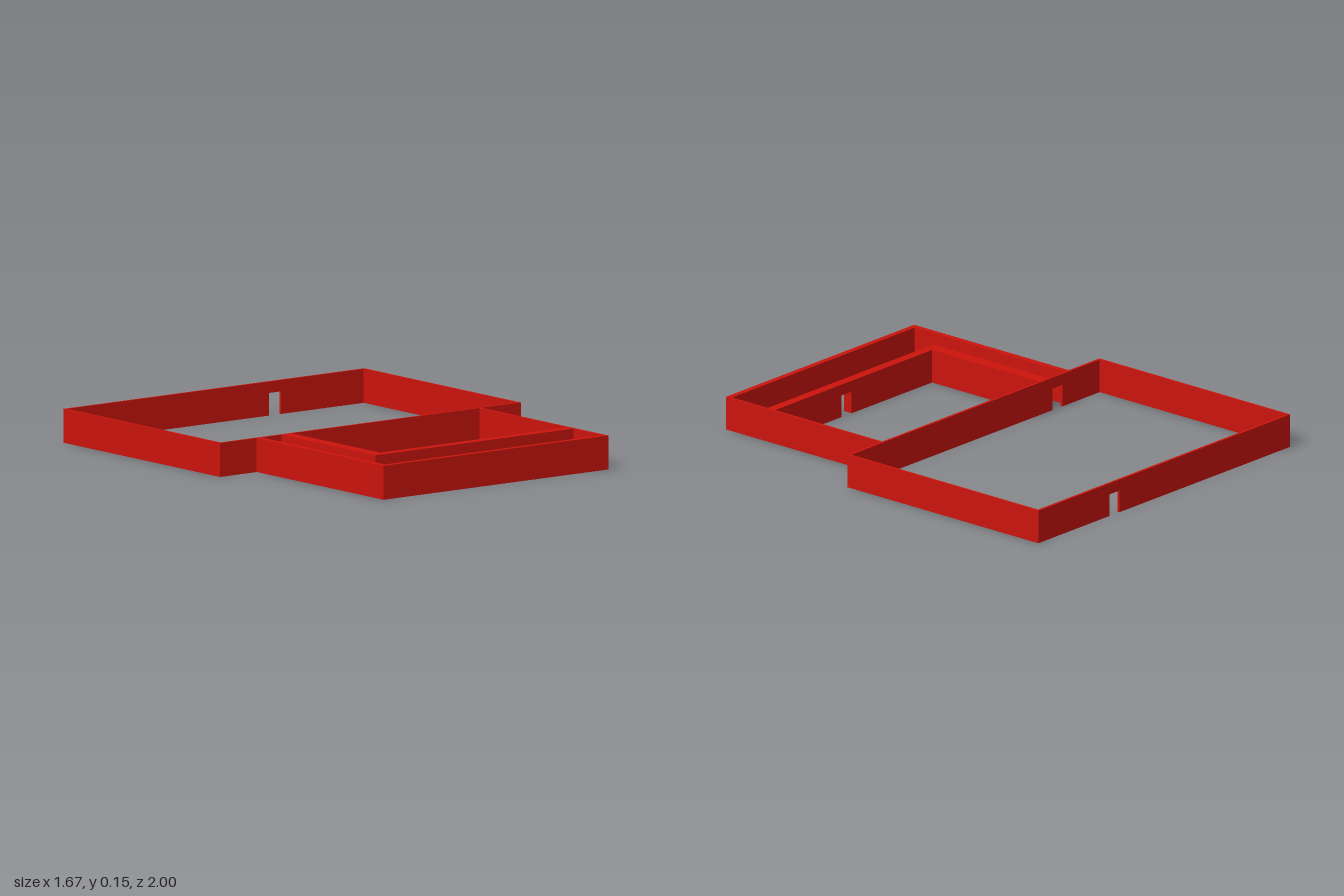
import * as THREE from 'three';

const H = 0.15;      // wall height
const DOOR_H = 0.1;  // doorway height

export function createModel() {
  const model = new THREE.Group();
  const material = new THREE.MeshStandardMaterial({ color: 0xcc140c });

  // Upright wall filling the plan rectangle x0..x1, z0..z1,
  // with an optional doorway [from, to] cut along x
  function wall(name, x0, x1, z0, z1, door) {
    const s = new THREE.Shape();
    s.moveTo(x0, 0);
    if (door) {
      s.lineTo(door[0], 0);
      s.lineTo(door[0], DOOR_H);
      s.lineTo(door[1], DOOR_H);
      s.lineTo(door[1], 0);
    }
    s.lineTo(x1, 0);
    s.lineTo(x1, H);
    s.lineTo(x0, H);
    s.closePath();
    const geometry = new THREE.ExtrudeGeometry(s, { depth: z1 - z0, bevelEnabled: false });
    geometry.translate(0, 0, z0);
    const mesh = new THREE.Mesh(geometry, material);
    mesh.name = name;
    model.add(mesh);
  }

  // Large room with thin walls
  const W = 0.833, T = 0.012, Z = 0.105;
  wall('largeRoomBackWall', -W, W, -1, -1 + T, [0.297, 0.363]);
  wall('sharedWall', -W, W, Z - T, Z, [-0.575, -0.51]);
  wall('largeRoomRightWall', -W, -W + T, -1 + T, Z - T);
  wall('largeRoomLeftWall', W - T, W, -1 + T, Z - T);

  // Front room outer walls
  wall('frontRoomRightWall', -0.63, -0.603, Z, 0.974);
  wall('frontRoomLeftWall', 0.603, 0.616, Z, 0.974);
  wall('frontRoomFrontWall', -0.63, 0.616, 0.974, 1);

  // L-shaped partition between the corridor and the inner room
  wall('partitionSideWall', -0.493, -0.434, Z, 0.725);
  wall('partitionFrontWall', -0.493, 0.603, 0.725, 0.768, [0.098, 0.165]);

  return model;
}
